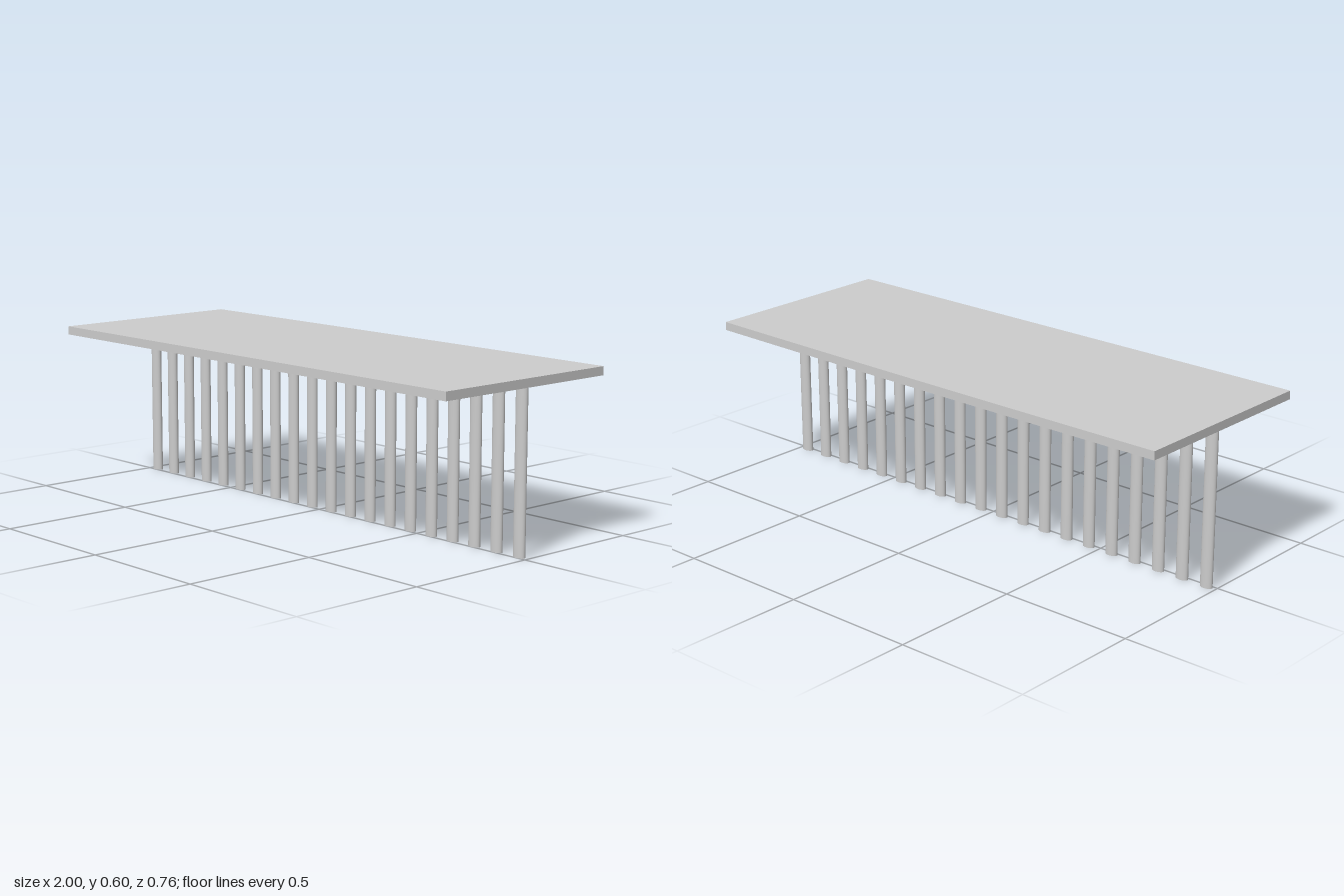
import * as THREE from 'three';

export function createModel() {
  const group = new THREE.Group();
  const material = new THREE.MeshStandardMaterial({ color: 0xcccccc });
  const underside = 0.571, top = 0.602;

  // Slab with a straight front edge and a very slightly bowed back edge
  const outline = new THREE.Shape();
  outline.moveTo(-1, -0.379);
  outline.lineTo(1, -0.379);
  outline.lineTo(1, 0.374);
  outline.quadraticCurveTo(0, 0.384, -1, 0.374);
  const slabGeometry = new THREE.ExtrudeGeometry(outline, {
    depth: top - underside, bevelEnabled: false, curveSegments: 16,
  });
  slabGeometry.rotateX(-Math.PI / 2);
  const slab = new THREE.Mesh(slabGeometry, material);
  slab.name = 'slab';
  slab.position.y = underside;
  group.add(slab);

  // Single row of oval posts under the slab
  const count = 20, reach = 0.963;
  const postGeometry = new THREE.CylinderGeometry(1, 1, underside, 32);
  postGeometry.scale(0.024, 1, 0.015);
  const posts = new THREE.Group();
  posts.name = 'posts';
  for (let i = 0; i < count; i++) {
    const post = new THREE.Mesh(postGeometry, material);
    post.name = `post${i + 1}`;
    post.position.set(-reach + (2 * reach * i) / (count - 1), underside / 2, -0.013);
    posts.add(post);
  }
  group.add(posts);

  return group;
}
